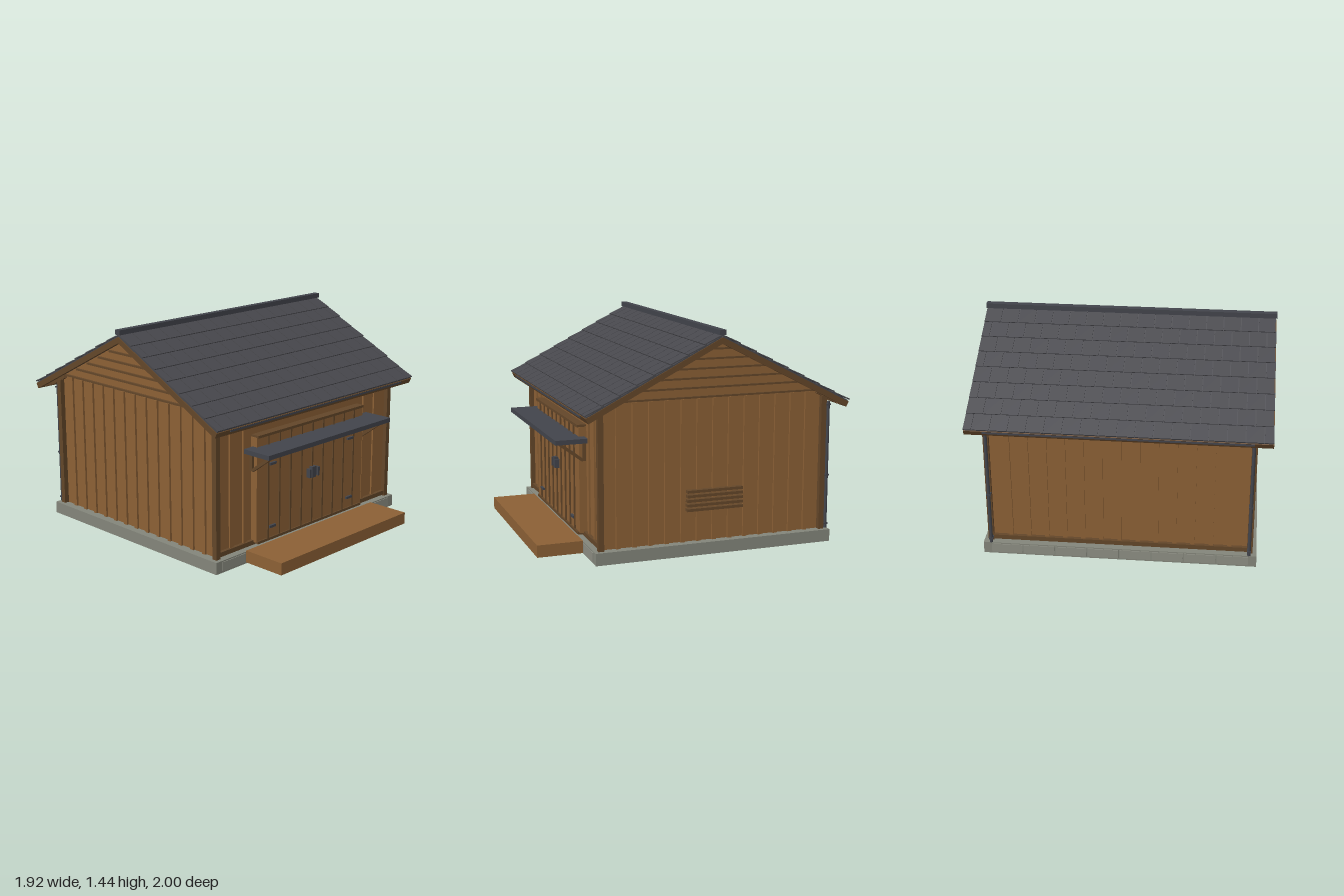
import * as THREE from 'three';
import { mergeGeometries } from 'three/addons/utils/BufferGeometryUtils.js';

const mat = (name, color) => {
  const m = new THREE.MeshStandardMaterial({ color });
  m.name = name;
  return m;
};

export function createModel() {
  const wood = mat('warm wood', 0x8b6035);
  const trim = mat('dark wood', 0x634629);
  const slate = mat('slate', 0x47474c);
  const metal = mat('dark metal', 0x42444b);
  const stone = mat('concrete', 0x83857a);
  const block = mat('foundation block', 0x8c8d82);

  const root = new THREE.Group();
  root.name = 'shed';
  const CZ = -0.11, SLOPE = Math.atan(0.515), PEAK = 1.392;

  // box given by its limits on each axis
  const boxGeo = (x0, x1, y0, y1, z0, z1) =>
    new THREE.BoxGeometry(x1 - x0, y1 - y0, z1 - z0).translate((x0 + x1) / 2, (y0 + y1) / 2, (z0 + z1) / 2);
  const add = (name, geo, material, parent = root) => {
    const m = new THREE.Mesh(Array.isArray(geo) ? mergeGeometries(geo) : geo, material);
    m.name = name;
    parent.add(m);
    return m;
  };

  // foundation with a row of blocks along front and back, and the entry deck
  add('foundation', boxGeo(-0.89, 0.89, 0, 0.08, -0.915, 0.695), stone);
  const blocks = [];
  for (let i = 0; i < 8; i++) {
    const x = -0.84 + i * 0.21;
    blocks.push(boxGeo(x + 0.004, x + 0.206, 0.012, 0.072, 0.69, 0.7));
    blocks.push(boxGeo(x + 0.004, x + 0.206, 0.012, 0.072, -0.92, -0.91));
  }
  add('foundationBlocks', blocks, block);
  add('deck', boxGeo(-0.63, 0.63, 0.01, 0.09, 0.7, 1), wood);

  // walls and both gables as one pentagon
  const s = new THREE.Shape();
  s.moveTo(CZ - 0.75, 0.08);
  s.lineTo(CZ + 0.75, 0.08);
  s.lineTo(CZ + 0.75, 0.995);
  s.lineTo(CZ, 1.382);
  s.lineTo(CZ - 0.75, 0.995);
  s.closePath();
  const body = new THREE.ExtrudeGeometry(s, { depth: 1.66, bevelEnabled: false });
  body.rotateY(-Math.PI / 2).translate(0.83, 0, 0);
  add('walls', body, wood);

  // vertical battens on all walls
  const battens = [];
  for (let i = 1; i < 14; i++) {
    const x = -0.83 + (i * 1.66) / 14;
    battens.push(boxGeo(x - 0.014, x + 0.014, 0.1, 0.94, -0.874, -0.858));
    if (Math.abs(x) > 0.56) battens.push(boxGeo(x - 0.014, x + 0.014, 0.1, 0.94, 0.638, 0.652));
    const z = CZ - 0.75 + (i * 1.5) / 14;
    for (const d of [-1, 1])
      battens.push(new THREE.BoxGeometry(0.016, 0.92, 0.028).translate(d * 0.836, 0.54, z));
  }
  add('wallBattens', battens, wood);

  // horizontal strips across the gables
  const strips = [];
  for (let y = 1.01; y < 1.36; y += 0.06) {
    const w = 2 * ((1.382 - y) / 0.515 - 0.025);
    for (const d of [-1, 1]) strips.push(new THREE.BoxGeometry(0.02, 0.012, w).translate(d * 0.836, y, CZ));
  }
  add('gableStrips', strips, trim);

  // corner posts, sills and top plates
  const frame = [];
  for (const d of [-1, 1]) {
    for (const z of [0.65, -0.865])
      frame.push(new THREE.BoxGeometry(0.036, 0.89, 0.036).translate(d * 0.845, 0.525, z));
  }
  for (const z of [0.648, -0.868]) {
    frame.push(new THREE.BoxGeometry(1.66, 0.03, 0.03).translate(0, 0.105, z));
    frame.push(new THREE.BoxGeometry(1.66, 0.03, 0.03).translate(0, 0.935, z));
  }
  add('cornerPostsAndSills', frame, trim);

  // double door with battens and rails
  const door = new THREE.Group();
  door.name = 'door';
  root.add(door);
  add('doorPanel', boxGeo(-0.525, 0.525, 0.11, 0.805, 0.64, 0.69), wood, door);
  const bars = [boxGeo(-0.52, 0.52, 0.803, 0.82, 0.64, 0.7), boxGeo(-0.52, 0.52, 0.1, 0.117, 0.64, 0.7)];
  for (let i = -4; i <= 4; i++)
    bars.push(boxGeo(i * 0.106 - 0.006, i * 0.106 + 0.006, 0.115, 0.803, 0.68, 0.699));
  add('doorBattens', bars, trim, door);
  const fittings = [boxGeo(-0.02, 0.02, 0.43, 0.505, 0.69, 0.715)];
  for (const d of [-1, 1]) {
    fittings.push(new THREE.BoxGeometry(0.016, 0.06, 0.03).translate(d * 0.041, 0.465, 0.705));
    for (const y of [0.19, 0.613])
      fittings.push(new THREE.BoxGeometry(0.06, 0.016, 0.02).translate(d * 0.387, y, 0.695));
  }
  add('handlesAndHinges', fittings, metal, door);

  // awning over the door on diagonal struts
  add('awning', boxGeo(-0.605, 0.605, 0.715, 0.745, 0.655, 0.865), metal);
  const struts = [];
  for (const d of [-1, 1]) {
    struts.push(new THREE.BoxGeometry(0.02, 0.02, 0.205)
      .rotateX(-Math.atan2(0.12, 0.16)).translate(d * 0.54, 0.655, 0.752));
    struts.push(new THREE.BoxGeometry(0.02, 0.125, 0.02).translate(d * 0.54, 0.653, 0.66));
  }
  add('awningStruts', struts, trim);

  // louvred vent in the left wall
  const slats = [];
  for (let i = 0; i < 5; i++)
    slats.push(new THREE.BoxGeometry(0.035, 0.018, 0.38).translate(0.847, 0.29 + i * 0.03, CZ));
  add('ventSlats', slats, trim);

  // downspouts on the back corners
  for (const d of [-1, 1]) {
    const pipe = [new THREE.CylinderGeometry(0.011, 0.011, 0.85, 12).translate(d * 0.84, 0.505, -0.906)];
    for (const y of [0.11, 0.44, 0.91])
      pipe.push(new THREE.BoxGeometry(0.028, 0.01, 0.04).translate(d * 0.84, y, -0.9));
    add('downspout', pipe, metal);
  }

  // one roof slope: local z runs from ridge to eave, local y is the outward normal
  const L = 0.88 / Math.cos(SLOPE), ROWS = 8, STEP = L / ROWS, COL = 0.1125;
  for (const turn of [0, Math.PI]) {
    const side = new THREE.Group();
    side.name = turn ? 'backRoof' : 'frontRoof';
    side.position.set(0, PEAK, CZ);
    side.rotation.y = turn;
    root.add(side);
    const slope = new THREE.Group();
    slope.name = 'roofSlope';
    slope.rotation.x = SLOPE;
    side.add(slope);
    add('roofDeck', boxGeo(-0.95, 0.95, -0.004, 0.01, 0, L - 0.006), slate, slope);

    // staggered overlapping shingles
    const shingles = [];
    for (let r = 0; r < ROWS; r++) {
      const shift = r % 2 ? COL / 2 : 0;
      for (let x = -0.956 - shift; x < 0.95; x += COL) {
        const x0 = Math.max(x, -0.956), x1 = Math.min(x + COL - 0.006, 0.956);
        if (x1 - x0 < 0.01) continue;
        shingles.push(new THREE.BoxGeometry(x1 - x0, 0.007, STEP + 0.012)
          .rotateX(-0.05).translate((x0 + x1) / 2, 0.016, (r + 0.5) * STEP - 0.006));
      }
    }
    add('shingles', shingles, slate, slope);

    // rake boards, eave board and rafters
    const timber = [boxGeo(-0.955, 0.955, -0.034, 0.004, L - 0.022, L)];
    for (const d of [-1, 1])
      timber.push(new THREE.BoxGeometry(0.024, 0.036, L).translate(d * 0.945, -0.016, L / 2));
    for (let i = 0; i < 15; i++)
      timber.push(new THREE.BoxGeometry(0.024, 0.032, 0.17).translate(-0.84 + i * 0.12, -0.02, L - 0.095));
    add('roofTimber', timber, trim, slope);
    add('gutter', boxGeo(-0.84, 0.84, -0.464, -0.452, 0.865, 0.884), metal, side);
  }
  add('ridgeCap', boxGeo(-0.96, 0.96, 1.408, 1.44, CZ - 0.021, CZ + 0.021), metal);

  return root;
}
